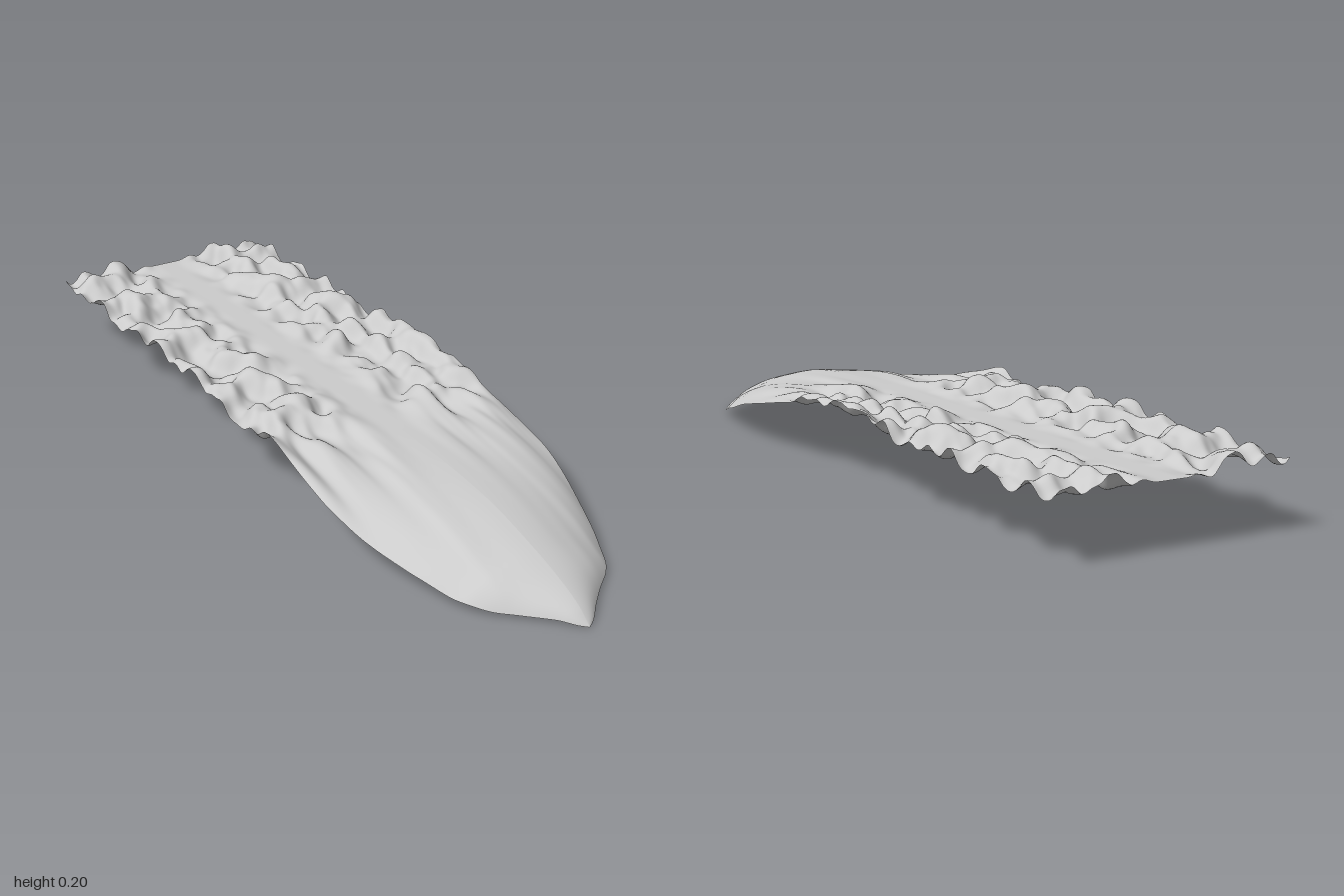
import * as THREE from 'three';

// Outline and height profiles along the blade: [z, value]
const HALF_WIDTH = [[-1, 0.312], [0, 0.312], [0.3, 0.312], [0.4, 0.309], [0.5, 0.294], [0.66, 0.25],
  [0.8, 0.198], [0.84, 0.17], [0.9, 0.105], [0.95, 0.055], [0.985, 0.022], [1, 0.001]];
const MID_HEIGHT = [[-1, 0.155], [0.2, 0.155], [0.4, 0.152], [0.6, 0.136], [0.8, 0.092],
  [0.9, 0.06], [0.96, 0.033], [1, 0.002]];
const EDGE_HEIGHT = [[-1, 0.17], [0, 0.17], [0.2, 0.152], [0.4, 0.108], [0.6, 0.056], [0.7, 0.03],
  [0.8, 0.008], [0.88, 0.01], [0.95, 0.01], [1, 0.001]];
// The right margin sits slightly higher near the shoulder
const RIGHT_LIFT = [[-1, 0], [0.5, 0], [0.65, 0.01], [0.8, 0.016], [0.88, 0], [1, 0]];

// Smooth interpolation through profile points
function sample(points, z) {
  let i = 0;
  while (i < points.length - 2 && z > points[i + 1][0]) i++;
  const slope = (k) => {
    if (k < 1 || k > points.length - 2) return null;
    const l = (points[k][1] - points[k - 1][1]) / (points[k][0] - points[k - 1][0]);
    const r = (points[k + 1][1] - points[k][1]) / (points[k + 1][0] - points[k][0]);
    return l * r <= 0 ? 0 : 2 * l * r / (l + r);
  };
  const [z0, a] = points[i], [z1, b] = points[i + 1];
  const h = z1 - z0, t = (z - z0) / h, chord = (b - a) / h;
  const m0 = slope(i) ?? chord, m1 = slope(i + 1) ?? chord;
  const t2 = t * t, t3 = t2 * t;
  return a * (2 * t3 - 3 * t2 + 1) + b * (3 * t2 - 2 * t3) + h * (m0 * (t3 - 2 * t2 + t) + m1 * (t3 - t2));
}

// Seeded gradient noise, roughly -0.7..0.7
function gradient(i, j, dx, dy) {
  let n = (Math.imul(i, 374761393) + Math.imul(j, 668265263) + 1013) | 0;
  n = Math.imul(n ^ (n >>> 13), 1274126177);
  const angle = ((n ^ (n >>> 16)) >>> 0) / 4294967296 * Math.PI * 2;
  return Math.cos(angle) * dx + Math.sin(angle) * dy;
}
function noise(x, y) {
  const i = Math.floor(x), j = Math.floor(y), dx = x - i, dy = y - j;
  const fade = (t) => t * t * t * (t * (6 * t - 15) + 10);
  const u = fade(dx), v = fade(dy), mix = THREE.MathUtils.lerp;
  return mix(mix(gradient(i, j, dx, dy), gradient(i + 1, j, dx - 1, dy), u),
    mix(gradient(i, j + 1, dx, dy - 1), gradient(i + 1, j + 1, dx - 1, dy - 1), u), v);
}

// Height of the ruffles, which stretch into faint streaks towards the tip
function ruffle(x, z) {
  const s = THREE.MathUtils.smoothstep;
  const across = s(Math.abs(x), 0.02, 0.15);
  const along = 1 - 0.86 * s(z, 0.1, 0.55);
  const stretched = z < 0.1 ? z : 0.1 + 0.08 * (1 - Math.exp((0.1 - z) / 0.08)) + (z - 0.1) * 0.12;
  const n = noise(x * 13 + 0.5, stretched * 10) + 0.3 * noise(x * 25 + 40, stretched * 18 + 40);
  return 0.038 * across * along * (1 - s(z, 0.75, 1)) * Math.tanh(2 * n);
}

// One half of the blade, from the midrib to the margin
function bladeHalf(side) {
  const nx = 56, nz = 260, positions = [], index = [];
  for (let j = 0; j <= nz; j++) {
    const z = -1 + 2 * j / nz;
    const width = sample(HALF_WIDTH, z), mid = sample(MID_HEIGHT, z);
    const edge = sample(EDGE_HEIGHT, z) + (side < 0 ? sample(RIGHT_LIFT, z) : 0);
    for (let i = 0; i <= nx; i++) {
      const t = side > 0 ? i / nx : 1 - i / nx;
      const x = side * t * width;
      const arch = 0.18 * t + 0.52 * t * t + 0.3 * t ** 5;
      const flat = THREE.MathUtils.smoothstep(t, 0.1, 0.6);
      const bend = THREE.MathUtils.lerp(flat, arch, THREE.MathUtils.smoothstep(z, 0, 0.3));
      positions.push(x, mid + (edge - mid) * bend + ruffle(x, z), z);
      if (i < nx && j < nz) {
        const a = j * (nx + 1) + i, b = a + nx + 1;
        index.push(a, b, a + 1, b, b + 1, a + 1);
      }
    }
  }
  const geometry = new THREE.BufferGeometry();
  geometry.setAttribute('position', new THREE.Float32BufferAttribute(positions, 3));
  geometry.setIndex(index);
  geometry.computeVertexNormals();
  return geometry;
}

export function createModel() {
  const group = new THREE.Group();
  group.name = 'ruffledLeafBlade';
  const material = new THREE.MeshStandardMaterial({ color: 0xcccccc, side: THREE.DoubleSide });
  // Separate halves keep a crease along the midrib
  for (const [name, side] of [['leftBladeHalf', 1], ['rightBladeHalf', -1]]) {
    const half = new THREE.Mesh(bladeHalf(side), material);
    half.name = name;
    group.add(half);
  }
  return group;
}
